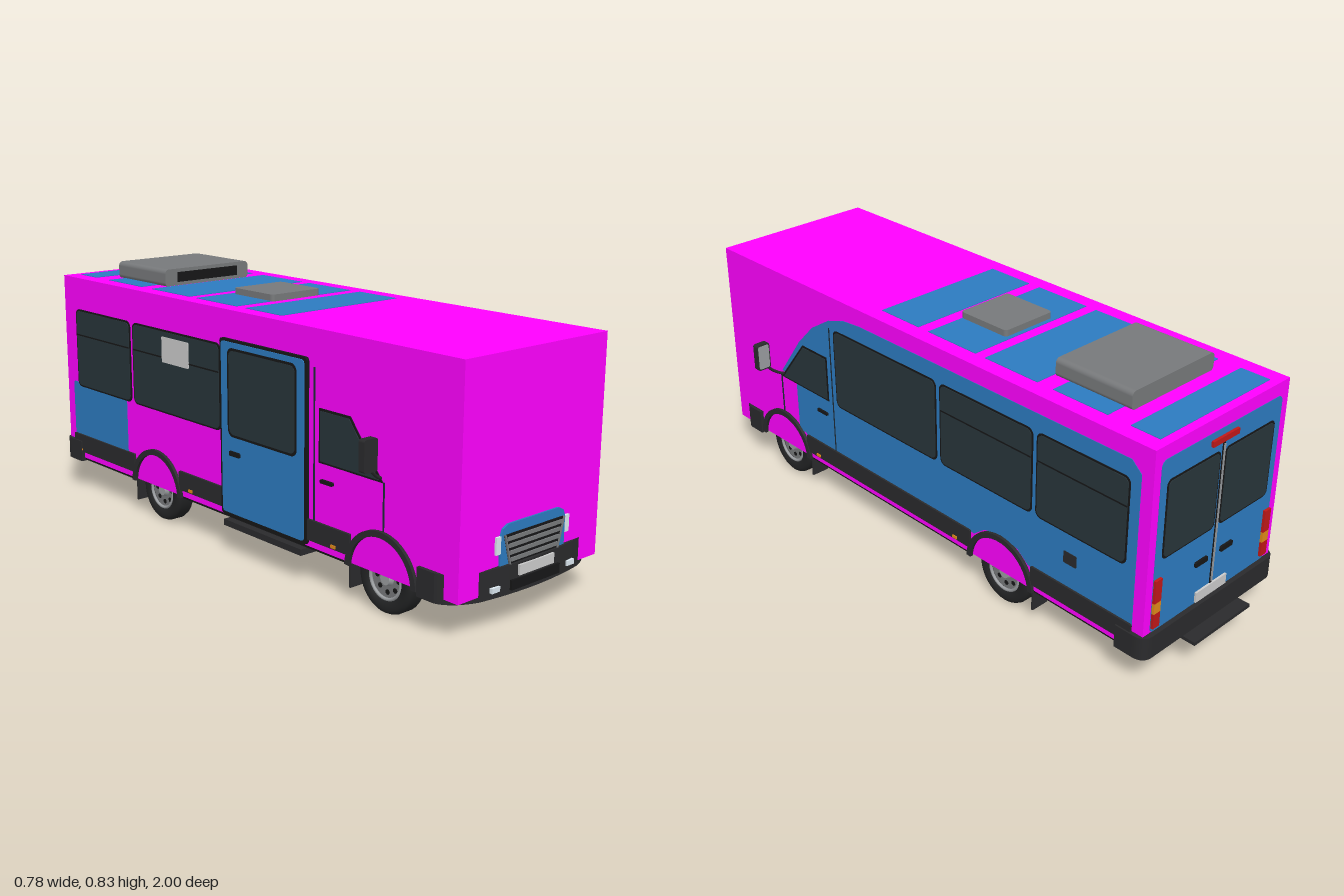
import * as THREE from 'three';

const W = 0.293, FRONT = 0.975, BACK = -0.94;
const mat = (color) => new THREE.MeshStandardMaterial({ color });
const M = {
  shell: mat(0xff00ff), blue: mat(0x2c7bc0), trim: mat(0x2a2a2c), black: mat(0x161617), glass: mat(0x28353a),
  grey: mat(0x77797b), steel: mat(0x9a9da0), plate: mat(0xc4c4c4), lamp: mat(0xdce8f0), red: mat(0xc01818),
  amber: mat(0xe08a1a), tyre: mat(0x222324), seam: mat(0x1c2a36),
};

export function createModel() {
  const root = new THREE.Group();
  const add = (name, geo, m, x = 0, y = 0, z = 0, parent = root) => {
    const mesh = new THREE.Mesh(geo, m);
    mesh.name = name;
    mesh.position.set(x, y, z);
    parent.add(mesh);
    return mesh;
  };
  // Box given by its limits
  const block = (name, m, x0, x1, y0, y1, z0, z1) =>
    add(name, new THREE.BoxGeometry(x1 - x0, y1 - y0, z1 - z0), m, (x0 + x1) / 2, (y0 + y1) / 2, (z0 + z1) / 2);
  const poly = (pts) => new THREE.Shape(pts.map((p) => new THREE.Vector2(...p)));
  const roundRect = (x0, x1, y0, y1, r) => {
    const s = new THREE.Shape();
    s.absarc(x1 - r, y1 - r, r, 0, Math.PI / 2);
    s.absarc(x0 + r, y1 - r, r, Math.PI / 2, Math.PI);
    s.absarc(x0 + r, y0 + r, r, Math.PI, Math.PI * 1.5);
    s.absarc(x1 - r, y0 + r, r, Math.PI * 1.5, Math.PI * 2);
    return s;
  };
  const extrude = (shape, depth) => new THREE.ExtrudeGeometry(shape, { depth, bevelEnabled: false, curveSegments: 12 });
  // Flat part on a side wall, drawn in (z, y); s = +1 or -1 picks the wall
  const onSide = (name, shape, m, s, depth, from = 0) =>
    add(name, extrude(shape, depth).rotateY(-Math.PI / 2), m, s > 0 ? W + from + depth : -W - from);
  const onFront = (name, shape, m, depth, from = 0) => add(name, extrude(shape, depth), m, 0, 0, FRONT + from);
  const onBack = (name, shape, m, depth, from = 0) => add(name, extrude(shape, depth), m, 0, 0, BACK - from - depth);
  // Horizontal slab drawn in plan as (x, -z)
  const slab = (name, shape, m, y0, y1) => add(name, extrude(shape, y1 - y0).rotateX(-Math.PI / 2), m, 0, y0);

  // Main shell and underside
  block('bodyShell', M.shell, -W, W, 0.12, 0.778, BACK, FRONT);
  for (const [z0, z1] of [[-0.9, -0.515], [-0.255, 0.56]]) block('floorPan', M.black, -0.29, 0.29, 0.112, 0.119, z0, z1);

  // Roof panels, air conditioner and hatch
  for (const [z0, z1] of [[-0.91, -0.81], [-0.73, -0.53], [-0.47, -0.26], [-0.22, -0.015], [0.03, 0.2]])
    block('roofPanel', M.blue, -0.24, 0.24, 0.776, 0.7795, z0, z1);
  const ac = add('airConditioner', extrude(roundRect(-0.177, 0.177, 0.776, 0.835, 0.015), 0.28), M.grey, 0, 0, -0.76);
  ac.castShadow = true;
  block('airConditionerGrille', M.black, -0.127, 0.127, 0.79, 0.823, -0.49, -0.476);
  slab('roofHatch', roundRect(-0.1, 0.1, 0.01, 0.205, 0.012), M.grey, 0.776, 0.8);

  // Side panels in body colour
  const paint = poly([[0.61, 0.2], [0.61, 0.41], [0.69, 0.41], [0.58, 0.555], [0.5, 0.635], [0.41, 0.69],
    [0.33, 0.715], [0.25, 0.722], [-0.865, 0.722], [-0.9, 0.69], [-0.9, 0.2], [-0.5, 0.2],
    [-0.455, 0.236], [-0.385, 0.25], [-0.315, 0.236], [-0.27, 0.2], [0.56, 0.2], [0.58, 0.21]]);
  onSide('sidePaint', paint, M.blue, 1, 0.0015);
  onSide('rearSidePaint', roundRect(-0.9, -0.56, 0.2, 0.4, 0.01), M.blue, -1, 0.0015);

  // Side windows with dark frames
  const windowAt = (s, z0, z1, split) => {
    onSide('windowFrame', roundRect(z0, z1, 0.387, 0.667, 0.022), M.black, s, 0.003);
    onSide('windowGlass', roundRect(z0 + 0.006, z1 - 0.006, 0.393, 0.661, 0.018), M.glass, s, 0.002, 0.003);
    if (split) onSide('windowBar', roundRect(z0 + 0.006, z1 - 0.006, 0.573, 0.578, 0.001), M.black, s, 0.0025, 0.003);
  };
  windowAt(1, -0.107, 0.387, false);
  windowAt(1, -0.512, -0.122, true);
  windowAt(1, -0.867, -0.526, true);
  windowAt(-1, -0.867, -0.526, true);
  windowAt(-1, -0.512, -0.03, true);

  // Passenger door, step and destination board
  onSide('passengerDoorFrame', roundRect(-0.022, 0.385, 0.125, 0.69, 0.012), M.black, -1, 0.01);
  onSide('passengerDoor', roundRect(-0.012, 0.375, 0.135, 0.682, 0.012), M.blue, -1, 0.003, 0.01);
  onSide('doorWindowFrame', roundRect(0.02, 0.345, 0.385, 0.665, 0.025), M.black, -1, 0.001, 0.013);
  onSide('doorWindow', roundRect(0.028, 0.337, 0.393, 0.657, 0.02), M.glass, -1, 0.001, 0.014);
  onSide('doorHandle', roundRect(0.03, 0.08, 0.325, 0.34, 0.004), M.black, -1, 0.006, 0.013);
  block('sideStep', M.trim, -0.312, -0.24, 0.09, 0.11, 0, 0.37);
  onSide('routeBoard', roundRect(-0.335, -0.19, 0.56, 0.645, 0.004), M.plate, -1, 0.003, 0.005);
  onSide('fuelFlap', roundRect(-0.69, -0.64, 0.285, 0.325, 0.004), M.trim, 1, 0.003);

  for (const s of [1, -1]) {
    // Cab window, door seams, handle
    onSide('cabWindowFrame', poly([[0.692, 0.388], [0.56, 0.55], [0.43, 0.55], [0.43, 0.388]]), M.black, s, 0.003);
    onSide('cabWindow', poly([[0.677, 0.394], [0.557, 0.543], [0.437, 0.543], [0.437, 0.394]]), M.glass, s, 0.002, 0.003);
    onSide('cabDoorSeam', roundRect(0.406, 0.411, 0.205, 0.665, 0.001), M.seam, s, 0.0025);
    onSide('cabDoorSeam', roundRect(0.693, 0.698, 0.245, 0.39, 0.001), M.seam, s, 0.0025);
    onSide('cabDoorHandle', roundRect(0.44, 0.492, 0.33, 0.341, 0.003), M.black, s, 0.008);

    // Skirt, marker lamps
    for (const [z0, z1] of [[-0.9, -0.515], [-0.255, 0.565]])
      onSide('skirt', roundRect(z0, z1, 0.143, 0.207, 0.003), M.trim, s, 0.008);
    for (const z of [0.5, -0.19, -0.86]) onSide('markerLamp', roundRect(z - 0.01, z + 0.01, 0.147, 0.157, 0.002), M.amber, s, 0.003, 0.008);

    // Mirror with curved arm
    const mx = s * 0.363;
    add('mirrorHousing', extrude(roundRect(-0.025, 0.025, -0.047, 0.047, 0.008), 0.022), M.trim, mx, 0.483, 0.692);
    add('mirrorGlass', extrude(roundRect(-0.021, 0.021, -0.042, 0.042, 0.006), 0.002), M.steel, mx, 0.483, 0.6905);
    const arm = new THREE.CatmullRomCurve3([[0.285, 0.398, 0.68], [0.305, 0.405, 0.683], [0.335, 0.425, 0.693], [0.352, 0.445, 0.7]]
      .map(([x, y, z]) => new THREE.Vector3(s * x, y, z)));
    add('mirrorArm', new THREE.TubeGeometry(arm, 10, 0.005, 8), M.trim);

    for (const z of [0.69, -0.385]) {
      // Wheel arch lip and mud flap
      const lip = new THREE.Shape();
      lip.absarc(z, 0.108, 0.141, 0.05, Math.PI - 0.05, false);
      lip.absarc(z, 0.108, 0.123, Math.PI - 0.05, 0.05, true);
      onSide('wheelArch', lip, M.trim, s, 0.011);
      const fx = s * 0.258;
      block('mudFlap', M.trim, fx - 0.032, fx + 0.032, 0.042, 0.125, z - 0.134, z - 0.128);

      // Wheel: lathed tyre, rim, hub and bolts, outer face towards +y before turning
      const wheel = new THREE.Group();
      wheel.name = 'wheel';
      wheel.position.set(s * 0.25, 0.105, z);
      wheel.rotation.z = -s * Math.PI / 2;
      root.add(wheel);
      const prof = [[0.06, -0.03], [0.09, -0.032], [0.101, -0.027], [0.105, -0.018], [0.105, 0.018], [0.101, 0.027], [0.09, 0.032], [0.066, 0.03], [0.062, 0.015]];
      add('tyre', new THREE.LatheGeometry(prof.map((p) => new THREE.Vector2(...p)), 40), M.tyre, 0, 0, 0, wheel);
      add('wheelDisc', new THREE.CylinderGeometry(0.064, 0.064, 0.046, 32), M.grey, 0, -0.006, 0, wheel);
      add('rimRing', new THREE.TorusGeometry(0.06, 0.005, 8, 32).rotateX(Math.PI / 2), M.steel, 0, 0.026, 0, wheel);
      add('hub', new THREE.CylinderGeometry(0.018, 0.024, 0.014, 20), M.steel, 0, 0.023, 0, wheel);
      for (let i = 0; i < 8; i++) {
        const a = (i / 8) * Math.PI * 2;
        add('rimHole', new THREE.CylinderGeometry(0.008, 0.008, 0.002, 10), M.black, Math.cos(a) * 0.042, 0.0175, Math.sin(a) * 0.042, wheel);
      }
    }

    // Headlamps, fog lamps, tail lamps, rear doors
    block('headlamp', M.lamp, s * 0.145 - 0.009, s * 0.145 + 0.009, 0.225, 0.275, 0.96, 0.982);
    block('fogLamp', M.lamp, s * 0.159 - 0.016, s * 0.159 + 0.016, 0.124, 0.139, 0.97, 0.991);
    const tx = s * 0.25;
    for (const [m, y0, y1] of [[M.red, 0.285, 0.36], [M.amber, 0.25, 0.285], [M.red, 0.2, 0.25]])
      block('tailLamp', m, tx - 0.014, tx + 0.014, y0, y1, BACK - 0.01, BACK);
    const span = (a, b) => (s > 0 ? [a, b] : [-b, -a]);
    onBack('rearWindowFrame', roundRect(...span(0.01, 0.238), 0.415, 0.667, 0.018), M.black, 0.003);
    onBack('rearWindow', roundRect(...span(0.016, 0.232), 0.421, 0.661, 0.014), M.glass, 0.002, 0.003);
    onBack('rearDoorHandle', roundRect(...span(0.03, 0.085), 0.315, 0.332, 0.004), M.black, 0.008);
  }

  // Rear panel, centre seam, brake lamp, plate
  onBack('rearPaint', roundRect(-0.265, 0.265, 0.18, 0.735, 0.02), M.blue, 0.0015);
  block('rearDoorSeam', M.black, -0.005, 0.005, 0.2, 0.7, BACK - 0.004, BACK);
  block('rearDoorRod', M.steel, -0.002, 0.002, 0.23, 0.685, BACK - 0.008, BACK);
  block('brakeLamp', M.red, -0.058, 0.058, 0.695, 0.713, BACK - 0.01, BACK);
  block('rearPlate', M.plate, -0.07, 0.07, 0.188, 0.222, BACK - 0.008, BACK);

  // Bumpers with rounded plan, and rear step
  const rear = new THREE.Shape();
  rear.moveTo(0.306, 0.85);
  rear.lineTo(0.306, 0.915);
  rear.quadraticCurveTo(0.306, 0.957, 0.265, 0.957);
  rear.lineTo(-0.265, 0.957);
  rear.quadraticCurveTo(-0.306, 0.957, -0.306, 0.915);
  rear.lineTo(-0.306, 0.85);
  slab('rearBumper', rear, M.trim, 0.108, 0.183);
  block('rearStep', M.trim, -0.13, 0.13, 0.097, 0.108, -1, -0.87);
  const nose = new THREE.Shape();
  nose.moveTo(-0.305, -0.835);
  nose.lineTo(-0.305, -0.9);
  nose.quadraticCurveTo(-0.29, -0.95, -0.21, -0.976);
  nose.quadraticCurveTo(0, -1.012, 0.21, -0.976);
  nose.quadraticCurveTo(0.29, -0.95, 0.305, -0.9);
  nose.lineTo(0.305, -0.835);
  slab('frontBumper', nose, M.trim, 0.105, 0.19);
  block('frontPlate', M.plate, -0.073, 0.073, 0.154, 0.184, 0.98, 0.999);
  block('bumperIntake', M.black, -0.102, 0.102, 0.117, 0.146, 0.98, 0.997);

  // Bonnet tip, grille and slats
  onFront('bonnetTip', poly([[-0.136, 0.18], [0.136, 0.18], [0.136, 0.275], [0.128, 0.294], [0.108, 0.304],
    [-0.108, 0.304], [-0.128, 0.294], [-0.136, 0.275]]), M.blue, 0.006);
  onFront('grille', poly([[-0.1, 0.185], [0.1, 0.185], [0.125, 0.276], [-0.125, 0.276]]), M.black, 0.004, 0.006);
  for (let i = 0; i < 4; i++) {
    const y = 0.197 + i * 0.0205, w = 0.098 + i * 0.0055;
    block('grilleSlat', M.grey, -w, w, y, y + 0.011, 0.98, 0.989);
  }
  for (const s of [1, -1]) {
    const edge = add('grilleEdge', new THREE.BoxGeometry(0.004, 0.094, 0.006), M.grey, s * 0.112, 0.231, 0.986);
    edge.rotation.z = -s * 0.267;
  }
  return root;
}
